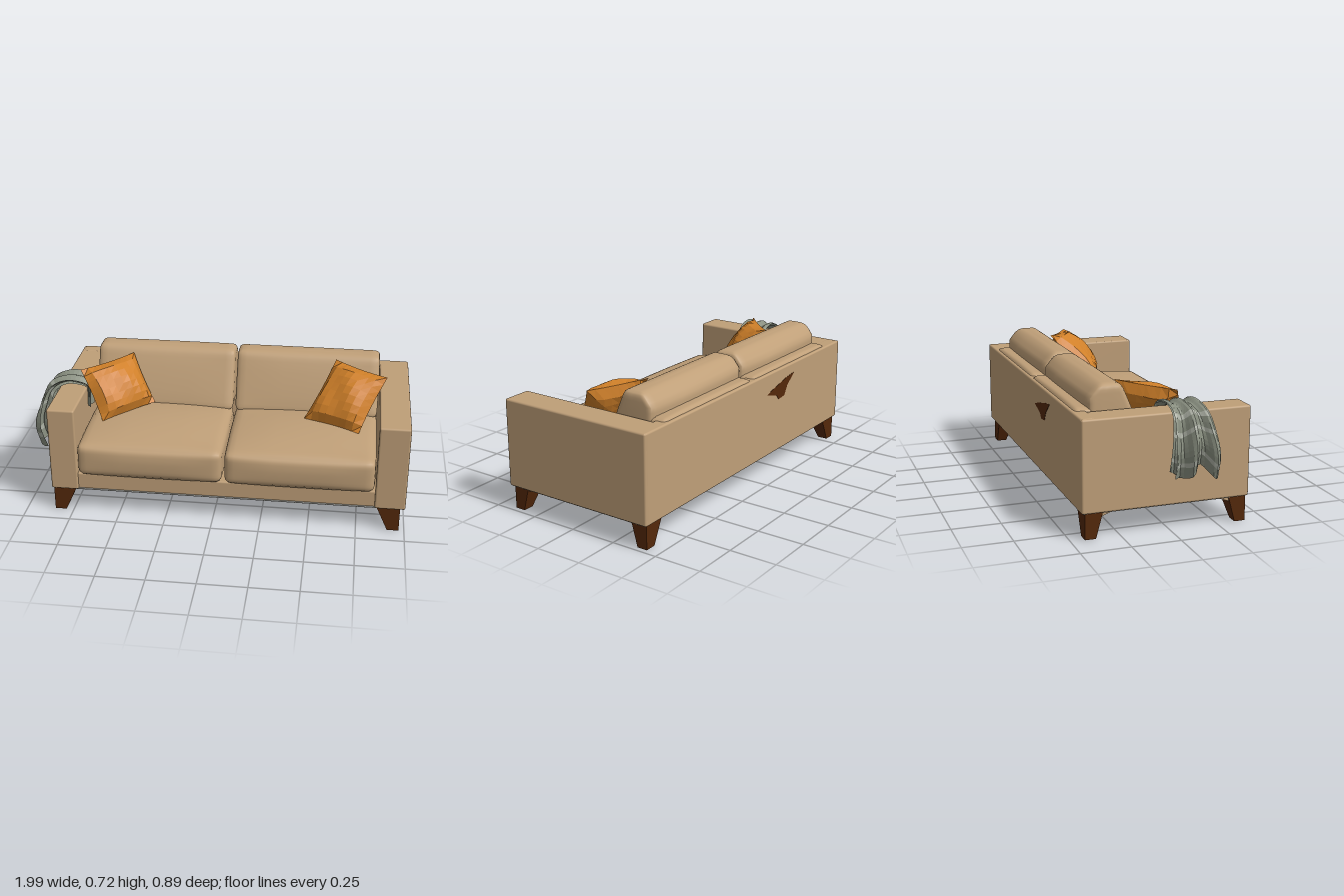
import * as THREE from 'three';
import { mergeVertices } from 'three/addons/utils/BufferGeometryUtils.js';
import { RoundedBoxGeometry } from 'three/addons/geometries/RoundedBoxGeometry.js';

const material = (name, color, extra = {}) => {
  const m = new THREE.MeshStandardMaterial({ color, ...extra });
  m.name = name;
  return m;
};

// Soft padded box: rounded edges, each face swollen in the middle
function cushionGeometry(w, h, d, r, bulge, rule) {
  let g = new THREE.BoxGeometry(2, 2, 2, 16, 12, 16);
  g.deleteAttribute('normal');
  g.deleteAttribute('uv');
  g = mergeVertices(g);
  const half = new THREE.Vector3(w / 2, h / 2, d / 2);
  const inner = half.clone().subScalar(r);
  const pos = g.attributes.position;
  const spread = (u) => Math.sign(u) * Math.abs(u) ** 0.5;
  const u = new THREE.Vector3(), p = new THREE.Vector3(), c = new THREE.Vector3();
  for (let i = 0; i < pos.count; i++) {
    u.fromBufferAttribute(pos, i);
    u.set(spread(u.x), spread(u.y), spread(u.z));
    p.copy(u).multiply(half);
    c.copy(p).clamp(inner.clone().negate(), inner);
    p.sub(c).normalize().multiplyScalar(r).add(c);
    const fx = 1 - u.x * u.x, fy = 1 - u.y * u.y, fz = 1 - u.z * u.z;
    p.x += u.x * 0.004 * fy * fz;
    p.y += u.y * bulge.y * fx * fz;
    p.z += u.z * bulge.z * fx * fy;
    if (rule) rule(p);
    pos.setXYZ(i, p.x, p.y, p.z);
  }
  g.computeVertexNormals();
  return g;
}

// Grid surface from a function of two parameters
function gridGeometry(nu, nv, point, flip = false) {
  const verts = [], index = [];
  for (let i = 0; i <= nu; i++)
    for (let j = 0; j <= nv; j++) verts.push(...point(i / nu, j / nv).toArray());
  for (let i = 0; i < nu; i++)
    for (let j = 0; j < nv; j++) {
      const a = i * (nv + 1) + j, b = a + nv + 1;
      if (flip) index.push(a, a + 1, b, b, a + 1, b + 1);
      else index.push(a, b, a + 1, b, b + 1, a + 1);
    }
  const g = new THREE.BufferGeometry();
  g.setAttribute('position', new THREE.Float32BufferAttribute(verts, 3));
  g.setIndex(index);
  g.computeVertexNormals();
  return g;
}

export function createModel() {
  const sofa = new THREE.Group();
  sofa.name = 'sofa';
  const fabric = material('tan fabric', 0xbf9f78);
  const wood = material('dark wood', 0x54280a);
  const lining = material('grey lining', 0xc6c6c0);
  const orange = material('orange fabric', 0xd08029, { flatShading: true, side: THREE.DoubleSide });
  const wool = material('grey green wool', 0x8b9182, { flatShading: true, side: THREE.DoubleSide });
  const paleWool = material('pale wool', 0xb0b4a8, { flatShading: true, side: THREE.DoubleSide });

  const add = (name, geometry, mat, x = 0, y = 0, z = 0) => {
    const mesh = new THREE.Mesh(geometry, mat);
    mesh.name = name;
    mesh.position.set(x, y, z);
    sofa.add(mesh);
    return mesh;
  };
  // Box given by its limits
  const block = (name, mat, x0, x1, y0, y1, z0, z1, r = 0.01) =>
    add(name, new RoundedBoxGeometry(x1 - x0, y1 - y0, z1 - z0, 2, r), mat,
      (x0 + x1) / 2, (y0 + y1) / 2, (z0 + z1) / 2);

  // Frame
  block('rightArm', fabric, -0.86, -0.715, 0.13, 0.59, -0.447, 0.412);
  block('leftArm', fabric, 0.84, 0.998, 0.13, 0.592, -0.447, 0.412);
  block('backPanel', fabric, -0.85, 0.99, 0.13, 0.592, -0.448, -0.375);
  block('baseRail', fabric, -0.73, 0.85, 0.132, 0.225, -0.42, 0.4);
  block('underside', lining, -0.85, 0.988, 0.126, 0.135, -0.438, 0.4, 0.003);
  for (const x of [-0.33, 0.447])
    add('backRoll', cushionGeometry(0.76, 0.06, 0.1, 0.025, { y: 0.006, z: 0 }), fabric, x, 0.573, -0.385);

  // Seat and back cushions; the back ones lean back in front and round off behind
  const lean = (p) => {
    const side = Math.min(1, Math.abs(p.z) / 0.08);
    if (p.z > 0) p.z -= p.y * 0.42 * side;
    else p.z += Math.max(0, p.y - 0.09) * 0.8 * side;
  };
  for (const [x, w] of [[-0.331, 0.757], [0.448, 0.772]]) {
    add('seatCushion', cushionGeometry(w, 0.19, 0.58, 0.035, { y: 0.034, z: 0.014 }, (p) => {
      if (p.y < -0.05) p.y = Math.max(p.y, -0.1);
      if (p.y > 0) p.y -= Math.max(0, p.z) * 0.05;
    }), fabric, x, 0.32, 0.14);
    add('backCushion', cushionGeometry(w, 0.31, 0.235, 0.028, { y: 0.006, z: 0.012 }, lean),
      fabric, x, 0.558, -0.247);
  }

  // Tapered feet, flush on the outer sides, with a corner bracket lined below
  const bracketMaterials = [0, 1, 2, 3, 4, 5].map((face) => (face === 3 ? lining : fabric));
  for (const [x, sx] of [[-0.85, 1], [0.972, -1]])
    for (const [z, sz] of [[0.4, -1], [-0.43, 1]]) {
      const g = new THREE.BoxGeometry(0.12, 0.13, 0.09);
      const pos = g.attributes.position;
      for (let i = 0; i < pos.count; i++) {
        const low = pos.getY(i) < 0;
        if (low && pos.getX(i) * sx > 0) pos.setX(i, 0);
        if (low && pos.getZ(i) * sz > 0) pos.setZ(i, sz * 0.01);
      }
      g.computeVertexNormals();
      add('foot', g, wood, x + sx * 0.06, 0.065, z + sz * 0.045);
      const b = new THREE.BoxGeometry(0.1, 0.022, 0.045);
      const bp = b.attributes.position;
      for (let i = 0; i < bp.count; i++)
        if (bp.getY(i) < 0 && bp.getZ(i) * sz > 0) bp.setY(i, 0.005);
      b.computeVertexNormals();
      add('footBracket', b, bracketMaterials, x + sx * 0.06, 0.117, z + sz * 0.108);
    }

  // Throw pillows: two swollen sheets between four corners
  const pillow = (name, corners) => {
    const [a, b, c, d] = corners.map((q) => new THREE.Vector3(...q));
    const normal = new THREE.Vector3().crossVectors(
      c.clone().sub(a), d.clone().sub(b)).normalize();
    const mid = a.clone().add(b).add(c).add(d).multiplyScalar(0.25);
    for (const side of [1, -1])
      add(name, gridGeometry(8, 8, (u, v) => {
        const p = a.clone().lerp(b, u).lerp(d.clone().lerp(c, u), v);
        const s = 2 * u - 1, t = 2 * v - 1;
        const fs = 1 - s * s, ft = 1 - t * t;
        p.lerp(mid, 0.04 * Math.abs(fs - ft)); // edges curve in between the corners
        const crease = 1 + 0.1 * Math.sin(5 * s + 3 * t * side);
        return p.addScaledVector(normal, side * 0.075 * Math.sqrt(fs * ft) * crease);
      }, side < 0), orange);
  };
  pillow('rightPillow', [[-0.755, 0.67, 0.07], [-0.51, 0.685, -0.165], [-0.375, 0.45, -0.04], [-0.62, 0.42, 0.18]]);
  pillow('leftPillow', [[0.6, 0.7, -0.17], [0.875, 0.68, -0.01], [0.74, 0.43, 0.165], [0.445, 0.44, 0.05]]);

  // Blanket draped over the right arm: path across the arm, folds across its width
  const path = new THREE.CatmullRomCurve3([
    [-0.7, 0.48, 0.05], [-0.705, 0.595, 0.05], [-0.75, 0.62, 0.055], [-0.83, 0.625, 0.065],
    [-0.9, 0.59, 0.08], [-0.94, 0.5, 0.09], [-0.96, 0.41, 0.095], [-0.935, 0.3, 0.1],
  ].map((q) => new THREE.Vector3(...q)));
  const drape = (t, v, layer) => {
    const p = path.getPoint(t), tan = path.getTangent(t);
    const out = new THREE.Vector3(tan.y, -tan.x, 0).normalize(); // away from the arm
    const hang = THREE.MathUtils.smoothstep(t, 0.4, 0.9);
    const w = 2 * v - 1;
    const fold = Math.sin(w * 7 + t * 3 + layer) * (0.01 + 0.022 * hang);
    p.z += w * (0.08 + 0.04 * hang);
    p.y += Math.sin(w * 4 + 1) * 0.03 * hang;
    return p.addScaledVector(out, fold - layer * (0.012 + 0.03 * hang));
  };
  const bands = [0, 0.56, 0.6, 0.68, 0.71, 0.9, 0.93, 1];
  for (const layer of [0, 1])
    for (let k = 0; k + 1 < bands.length; k++) {
      const [t0, t1] = [bands[k], bands[k + 1]];
      add(k % 2 ? 'blanketStripe' : 'blanket',
        gridGeometry(Math.max(1, Math.round((t1 - t0) * 24)), 16,
          (u, v) => drape(t0 + (t1 - t0) * u, v, layer)), k % 2 ? paleWool : wool);
    }

  // Dark patch on the outside of the back
  const patch = new THREE.Shape([
    [0.06, 0.478], [0.12, 0.495], [0.26, 0.527], [0.34, 0.537], [0.27, 0.48],
    [0.24, 0.43], [0.18, 0.425], [0.16, 0.45],
  ].map((q) => new THREE.Vector2(...q)));
  add('backPatch', new THREE.ExtrudeGeometry(patch, { depth: 0.002, bevelEnabled: false }),
    wood, 0, 0, -0.4475).rotation.y = Math.PI;

  return sofa;
}
